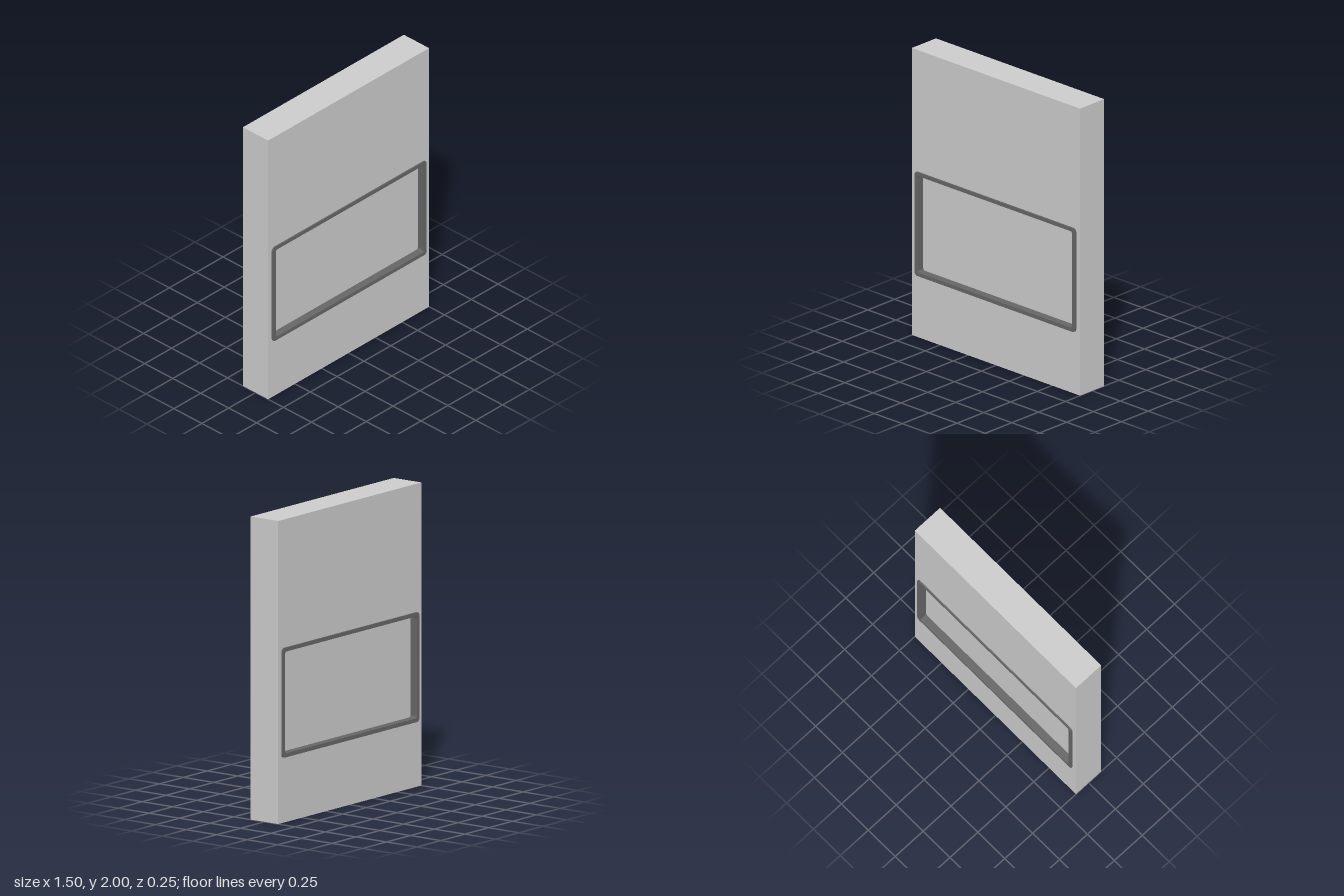
import * as THREE from 'three';

// Traces a rounded rectangle centred on (0, cy) into a shape or path
function roundedRect(path, w, h, cy, r) {
  const x = w / 2, b = cy - h / 2, t = cy + h / 2;
  path.moveTo(-x + r, b);
  path.lineTo(x - r, b);
  path.absarc(x - r, b + r, r, -Math.PI / 2, 0);
  path.lineTo(x, t - r);
  path.absarc(x - r, t - r, r, 0, Math.PI / 2);
  path.lineTo(-x + r, t);
  path.absarc(-x + r, t - r, r, Math.PI / 2, Math.PI);
  path.lineTo(-x, b + r);
  path.absarc(-x + r, b + r, r, Math.PI, Math.PI * 1.5);
  return path;
}

export function createModel() {
  const group = new THREE.Group();
  const grey = new THREE.MeshStandardMaterial({ color: 0xcccccc });
  const dark = new THREE.MeshStandardMaterial({ color: 0x666666 });
  const cy = 0.792;

  const addSlab = (name, shape, depth, material) => {
    const geometry = new THREE.ExtrudeGeometry(shape, { depth, bevelEnabled: false, curveSegments: 6 });
    geometry.translate(0, 0, -depth / 2);
    const mesh = new THREE.Mesh(geometry, material);
    mesh.name = name;
    group.add(mesh);
  };

  // Upright panel with a window opening
  const panel = new THREE.Shape();
  panel.moveTo(-0.75, 0);
  panel.lineTo(0.75, 0);
  panel.lineTo(0.75, 2);
  panel.lineTo(-0.75, 2);
  panel.closePath();
  panel.holes.push(roundedRect(new THREE.Path(), 1.41, 0.7, cy, 0.02));
  addSlab('panel', panel, 0.226, grey);

  // Frame lining the opening, standing slightly proud on both faces
  const frame = roundedRect(new THREE.Shape(), 1.434, 0.724, cy, 0.025);
  frame.holes.push(roundedRect(new THREE.Path(), 1.378, 0.672, cy, 0.015));
  addSlab('windowFrame', frame, 0.246, dark);

  // Recessed pane
  addSlab('windowPane', roundedRect(new THREE.Shape(), 1.39, 0.684, cy, 0.015), 0.14, grey);

  return group;
}
